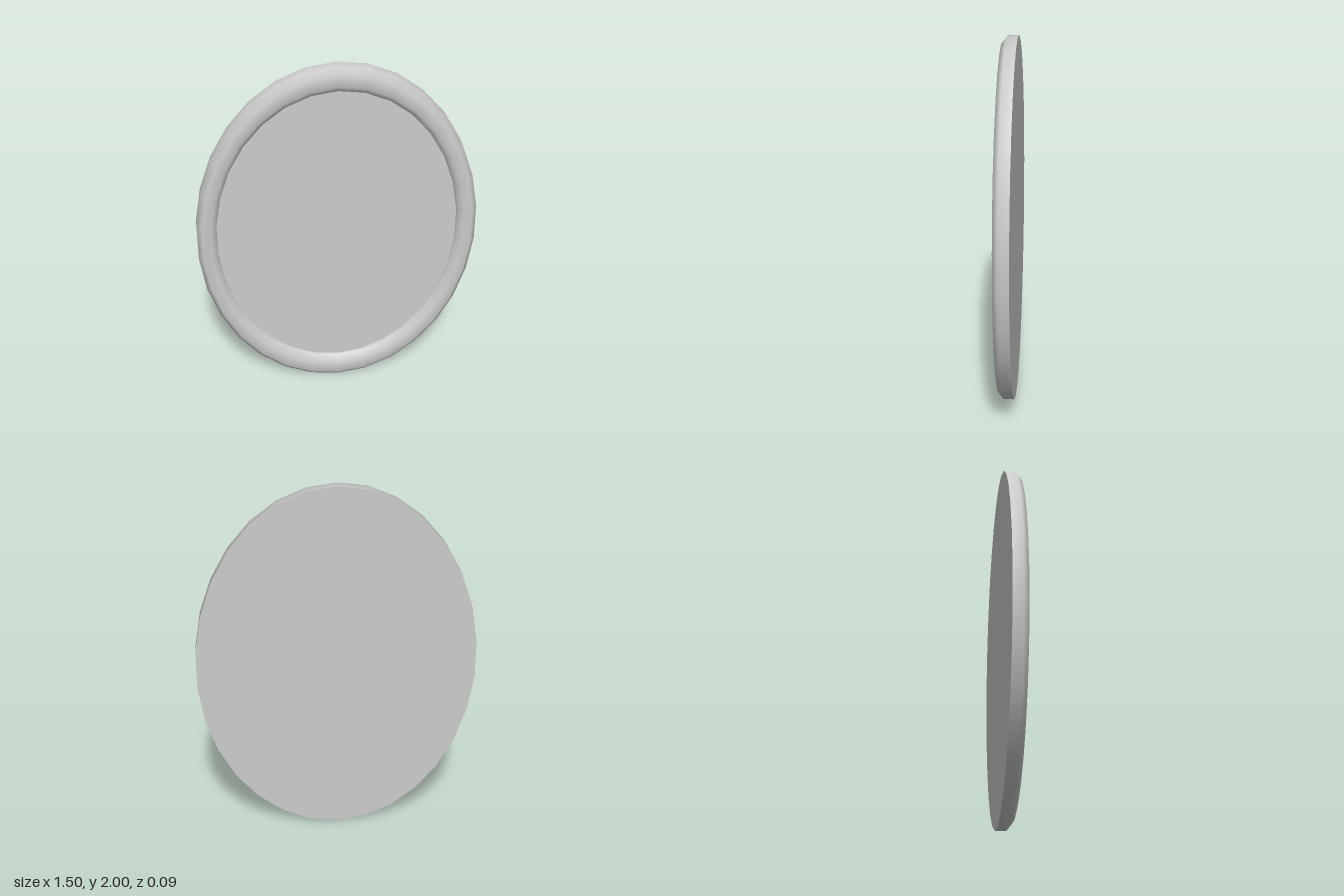
import * as THREE from 'three';

const SEGMENTS = 30;
const HALF_WIDTH = 0.754; // flat facets at the sides bring this to 0.75
const HALF_DEPTH = 0.0425;

export function createModel() {
  const group = new THREE.Group();
  group.name = 'ovalMirror';
  const material = new THREE.MeshStandardMaterial({ color: 0xcccccc });

  // Squash a unit circle into the oval and stand it on the ground
  const addOval = (name, geometry) => {
    geometry.scale(HALF_WIDTH, 1, 1);
    geometry.translate(0, 1, 0);
    const mesh = new THREE.Mesh(geometry, material);
    mesh.name = name;
    group.add(mesh);
  };

  // Frame: straight outer rim, bevelled front, short wall down to the glass
  const profile = [
    [1, -HALF_DEPTH], [1, 0.015], [0.965, HALF_DEPTH],
    [0.9, HALF_DEPTH], [0.865, 0.015], [0.86, 0],
  ].map(([r, z]) => new THREE.Vector2(r, z));
  addOval('frame', new THREE.LatheGeometry(profile, SEGMENTS).rotateX(Math.PI / 2));

  // Glass: recessed flat disc facing the front
  addOval('glass', new THREE.CircleGeometry(0.86, SEGMENTS, Math.PI / 2));

  // Back panel: flat disc closing the rear
  addOval('backPanel', new THREE.CircleGeometry(1, SEGMENTS, Math.PI / 2)
    .rotateY(Math.PI).translate(0, 0, -HALF_DEPTH));

  return group;
}
